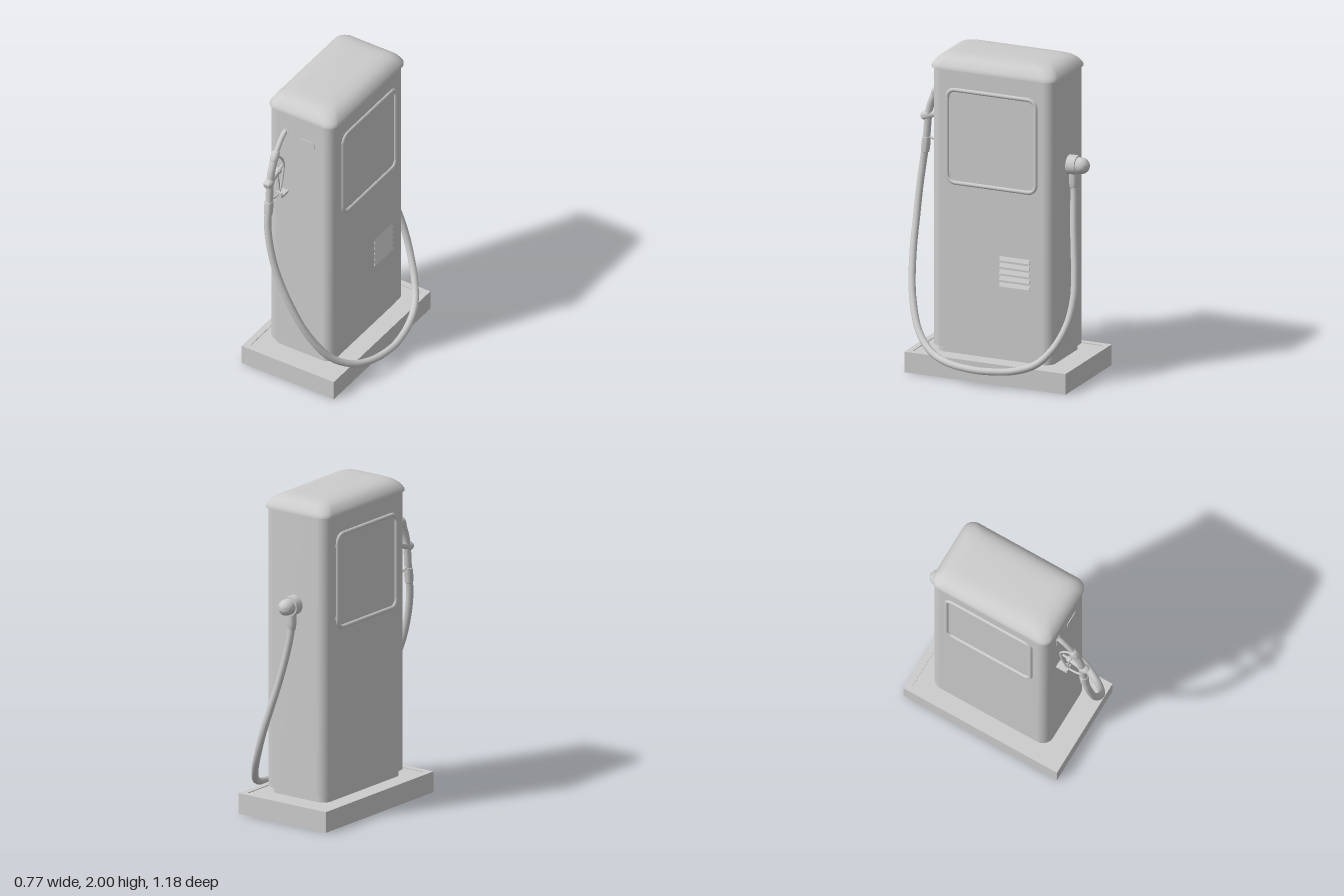
import * as THREE from 'three';
import { toCreasedNormals } from 'three/addons/utils/BufferGeometryUtils.js';

const V = (x, y, z) => new THREE.Vector3(x, y, z);
const CX = -0.057, CZ = -0.05; // centre of the cabinet

// Rounded rectangle, centred on the origin
function roundRect(w, h, r, Path = THREE.Shape) {
  const s = new Path(), x = w / 2, y = h / 2;
  s.moveTo(x, -y + r);
  s.lineTo(x, y - r);
  s.absarc(x - r, y - r, r, 0, Math.PI / 2);
  s.absarc(-x + r, y - r, r, Math.PI / 2, Math.PI);
  s.absarc(-x + r, -y + r, r, Math.PI, Math.PI * 1.5);
  s.absarc(x - r, -y + r, r, Math.PI * 1.5, Math.PI * 2);
  return s;
}

// Stack of rounded rectangles, each section [y, inset], optionally closed on top
function loft(w, d, r, sections, closed) {
  const pos = [], index = [], per = 8, n = 4 * (per + 1);
  for (const [y, inset] of sections) {
    for (let c = 0; c < 4; c++) for (let i = 0; i <= per; i++) {
      const a = (c + i / per) * Math.PI / 2;
      const sx = c === 0 || c === 3 ? 1 : -1, sz = c < 2 ? 1 : -1;
      pos.push(sx * (w / 2 - inset - r) + r * Math.cos(a), y, sz * (d / 2 - inset - r) + r * Math.sin(a));
    }
  }
  for (let s = 0; s < sections.length - 1; s++) for (let i = 0; i < n; i++) {
    const a = s * n + i, b = s * n + (i + 1) % n;
    index.push(a, a + n, b, b, a + n, b + n);
  }
  if (closed) {
    const top = (sections.length - 1) * n, mid = sections.length * n;
    pos.push(0, sections[sections.length - 1][0], 0);
    for (let i = 0; i < n; i++) index.push(mid, top + (i + 1) % n, top + i);
  }
  const g = new THREE.BufferGeometry();
  g.setAttribute('position', new THREE.Float32BufferAttribute(pos, 3));
  g.setIndex(index);
  g.computeVertexNormals();
  return g;
}

export function createModel() {
  const model = new THREE.Group();
  const grey = new THREE.MeshStandardMaterial({ color: 0xcccccc, side: THREE.DoubleSide });
  grey.name = 'light grey';

  function add(name, geometry, x = 0, y = 0, z = 0, parent = model) {
    const m = new THREE.Mesh(geometry, grey);
    m.name = name;
    m.position.set(x, y, z);
    parent.add(m);
    return m;
  }
  const tube = (name, pts, r, segs = 24, parent = model) =>
    add(name, new THREE.TubeGeometry(new THREE.CatmullRomCurve3(pts.map(p => V(...p))), segs, r, 12), 0, 0, 0, parent);
  // Turned part: [radius, distance] profile running from a point along a direction
  function turned(name, profile, from, dir, parent = model) {
    const g = new THREE.LatheGeometry(profile.map(p => new THREE.Vector2(...p)), 24);
    const m = add(name, toCreasedNormals(g, 0.6), ...from, parent);
    m.quaternion.setFromUnitVectors(V(0, 1, 0), V(...dir).normalize());
    return m;
  }
  const flat = (shape, depth) => new THREE.ExtrudeGeometry(shape, { depth, bevelEnabled: false, curveSegments: 8 });

  // Hollow base: rim, and a deck that opens into the cabinet
  const rim = roundRect(0.66, 1.07, 0.002);
  rim.holes.push(roundRect(0.58, 0.99, 0.002, THREE.Path));
  add('baseRim', flat(rim, 0.13).rotateX(-Math.PI / 2), -0.06, 0, CZ);
  const deck = roundRect(0.58, 0.99, 0.002);
  deck.holes.push(roundRect(0.42, 0.77, 0.06, THREE.Path));
  add('baseDeck', flat(deck, 0.01).rotateX(-Math.PI / 2), -0.06, 0.115, CZ);

  // Cabinet
  add('plinth', loft(0.42, 0.77, 0.06, [[0.12, 0], [0.17, 0]]), -0.06, 0, CZ);
  add('cabinetFloorLip', loft(0.465, 0.815, 0.07, [[0.165, 0.025], [0.165, 0]]), CX, 0, CZ);
  add('cabinet', loft(0.465, 0.815, 0.07, [[0.165, 0], [1.92, 0]]), CX, 0, CZ);
  const roof = [[1.912, 0.012], [1.912, 0], [1.922, 0], [1.938, 0.008], [1.958, 0.022], [1.976, 0.042],
    [1.989, 0.07], [1.997, 0.105], [2, 0.15]];
  add('roof', toCreasedNormals(loft(0.485, 0.832, 0.07, roof, true), 0.9), -0.055, 0, CZ);

  // Rounded trim around the display on both sides
  const outline = roundRect(0.585, 0.585, 0.05).getSpacedPoints(120).slice(0, -1);
  const path = new THREE.CatmullRomCurve3(outline.map(p => V(0, p.y, p.x)), true);
  for (const [name, x] of [['leftDisplayTrim', 0.175], ['rightDisplayTrim', -0.29]]) {
    add(name, new THREE.TubeGeometry(path, 160, 0.013, 10, true), x, 1.5, CZ);
  }

  // Vent louvres: wedges that jut out at the lower edge
  const wedge = new THREE.Shape([[0, 0], [0.013, 0.004], [0, 0.032]].map(p => new THREE.Vector2(...p)));
  for (let i = 0; i < 5; i++) {
    add('ventLouvre', flat(wedge, 0.2), 0.174, 0.592 + i * 0.041, -0.305);
  }

  // Front plates
  add('frontPlate', flat(roundRect(0.105, 0.055, 0.018), 0.006), -0.003, 1.737, 0.356);
  add('spoutPlate', flat(roundRect(0.05, 0.11, 0.015), 0.005), -0.16, 1.74, 0.356);

  // Nozzle
  const nozzle = new THREE.Group();
  nozzle.name = 'nozzle';
  model.add(nozzle);
  const NX = -0.16;
  tube('spout', [[NX, 1.775, 0.35], [NX, 1.755, 0.385], [NX, 1.71, 0.43], [NX, 1.65, 0.475]], 0.016, 20, nozzle);
  turned('spoutCollar', [[0.016, -0.035], [0.024, -0.025], [0.027, 0], [0.024, 0.025], [0.016, 0.035]],
    [NX, 1.655, 0.472], [0, -1, 0.6], nozzle);
  tube('handle', [[NX, 1.64, 0.48], [NX, 1.56, 0.511], [NX, 1.48, 0.526], [NX, 1.38, 0.534], [NX, 1.31, 0.542]],
    0.023, 24, nozzle);
  turned('valve', [[0, -0.035], [0.02, -0.033], [0.029, -0.015], [0.029, 0.01], [0.02, 0.03], [0.017, 0.09],
    [0.021, 0.095], [0.019, 0.115], [0.009, 0.12], [0.008, 0.15], [0, 0.15]], [NX, 1.493, 0.535], [0, 0.28, -1], nozzle);
  tube('guard', [[NX, 1.64, 0.455], [NX, 1.6, 0.405], [NX, 1.54, 0.375], [NX, 1.47, 0.382], [NX, 1.4, 0.4],
    [NX, 1.35, 0.425], [NX, 1.345, 0.47], [NX, 1.365, 0.53]], 0.007, 40, nozzle);
  tube('trigger', [[NX, 1.53, 0.44], [NX, 1.46, 0.435], [NX, 1.42, 0.428], [NX, 1.37, 0.43]], 0.006, 16, nozzle);
  turned('hoseFerrule', [[0.02, 0], [0.026, 0.005], [0.028, 0.05], [0.026, 0.095], [0.02, 0.1]],
    [NX, 1.36, 0.536], [0, -1, 0.1], nozzle);

  // Nozzle rest: small tray with a raised lip
  add('nozzleRest', new THREE.BoxGeometry(0.05, 0.015, 0.075), NX, 1.327, 0.395);
  add('nozzleRestLip', new THREE.BoxGeometry(0.05, 0.035, 0.01), NX, 1.34, 0.43);

  // Hose, sweeping round the left side
  tube('hose', [[NX, 1.3, 0.543], [-0.157, 1.2, 0.557], [-0.135, 1.06, 0.568], [-0.09, 0.88, 0.569],
    [0, 0.65, 0.553], [0.1, 0.43, 0.508], [0.2, 0.25, 0.42], [0.28, 0.155, 0.3], [0.335, 0.118, 0.16],
    [0.36, 0.107, 0], [0.357, 0.107, -0.1], [0.328, 0.12, -0.26], [0.285, 0.165, -0.39], [0.225, 0.26, -0.48],
    [0.155, 0.4, -0.54], [0.1, 0.55, -0.558], [0.055, 0.7, -0.545], [0.015, 0.85, -0.523],
    [-0.02, 1.0, -0.504], [-0.05, 1.15, -0.492], [-0.06, 1.24, -0.488]], 0.022, 140);

  // Rear hose outlet
  turned('outlet', [[0, 0], [0.06, 0], [0.06, 0.065], [0.05, 0.065], [0.05, 0.095], [0.044, 0.115],
    [0.03, 0.13], [0.012, 0.139], [0, 0.14]], [-0.057, 1.344, -0.45], [0, 0, -1]);
  turned('outletFerrule', [[0.022, 0], [0.028, 0.005], [0.028, 0.07], [0.024, 0.1], [0.02, 0.11]],
    [-0.058, 1.3, -0.487], [0, -1, 0]);

  return model;
}
